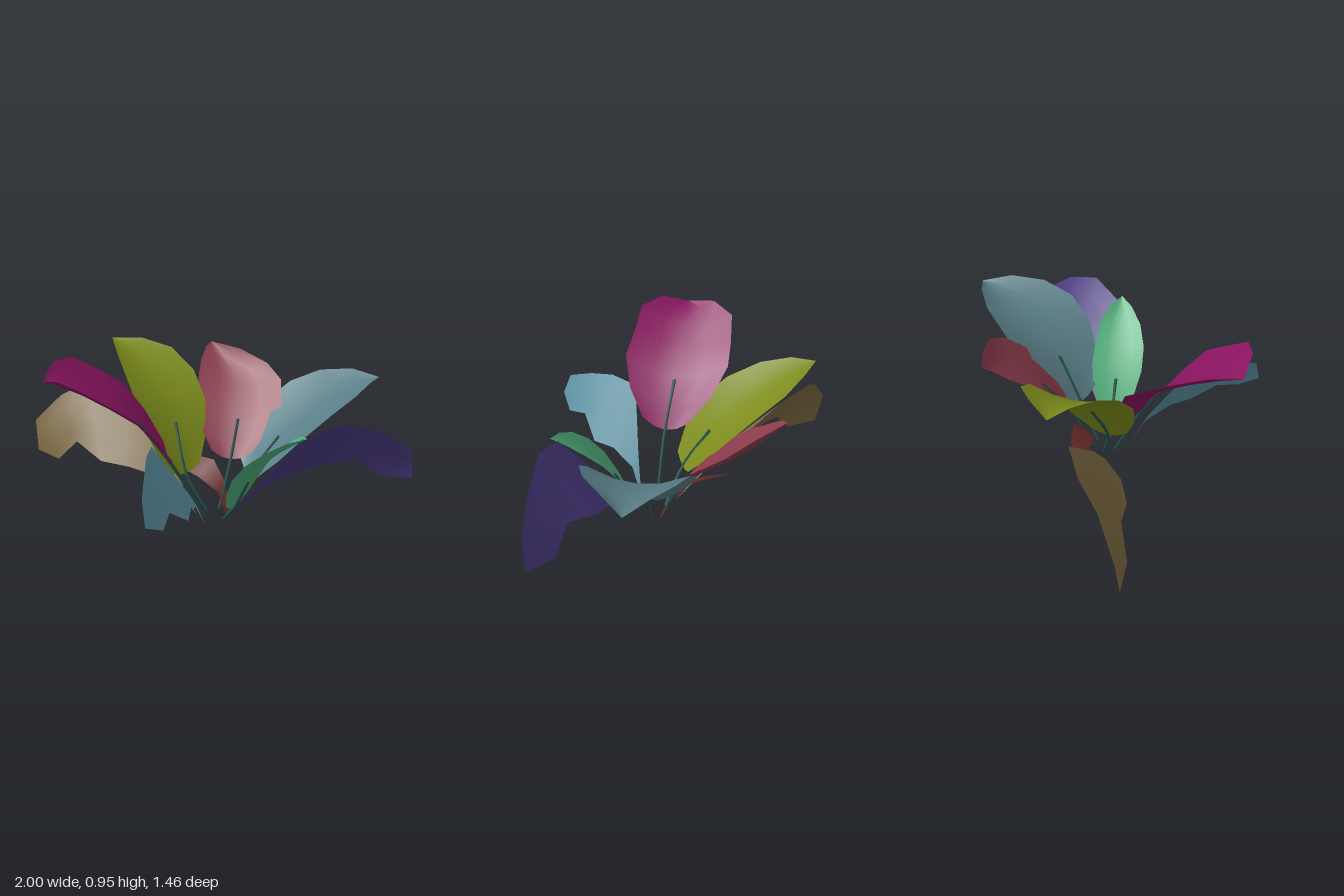
import * as THREE from 'three';

const vec = (p) => new THREE.Vector3(...p);
const SEATS = [-1, -0.5, 0, 0.5, 1]; // positions across a blade

// Blade lofted along a rib; the half-width vector turns from `side` to `tipSide`, `cup` lifts the edges
function bladeGeometry({ rib, side, tipSide = side, cup = [0, 0, 0], rows }) {
  const curve = new THREE.CatmullRomCurve3(rib.map(vec));
  const cupV = vec(cup), pos = [], index = [], n = SEATS.length;
  rows.forEach(([t, w], r) => {
    const mid = curve.getPoint(t);
    const half = vec(side).lerp(vec(tipSide), t * t);
    for (const s of SEATS) {
      const p = mid.clone().addScaledVector(half, s * w)
        .addScaledVector(cupV, s * s * Math.sqrt(w));
      pos.push(p.x, p.y, p.z);
    }
    if (r === 0) return;
    for (let c = 0; c < n - 1; c++) {
      const a = (r - 1) * n + c, b = r * n + c;
      index.push(a, a + 1, b, a + 1, b + 1, b);
    }
  });
  const g = new THREE.BufferGeometry();
  g.setAttribute('position', new THREE.Float32BufferAttribute(pos, 3));
  g.setIndex(index);
  g.computeVertexNormals();
  return g;
}

// Width outlines as [position along rib, share of half-width]
const POINTED = [[0, 0.45], [0.12, 0.8], [0.28, 1], [0.48, 0.98], [0.68, 0.8], [0.86, 0.42], [1, 0]];
const BLUNT = [[0, 0.45], [0.12, 0.8], [0.28, 1], [0.48, 0.95], [0.68, 0.9], [0.86, 0.52], [1, 0]];
const DROOPING = [0, 0.22, 0.95, 1, 0.6, 0.52, 0].map((w, i) => [i / 6, w]);
const SMALL = [[0, 0.15], [0.25, 0.5], [0.5, 1], [0.75, 0.8], [1, 0]];

// Upright cupped leaves on thin stems
const uprightLeaves = [
  { name: 'magentaLeaf', color: 0x8a1560, rows: BLUNT, base: [-0.07, 0.03, 0.01], side: [0.03, 0, 0.29], cup: [-0.01, 0.09, 0],
    rib: [[-0.26, 0.39, 0.03], [-0.42, 0.63, 0.03], [-0.58, 0.75, 0.04], [-0.75, 0.86, 0.07], [-0.88, 0.9, 0.1]] },
  { name: 'yellowLeaf', color: 0x7d8c1c, rows: POINTED, base: [-0.05, 0.03, -0.05], side: [0.19, 0, -0.13], cup: [0, 0.05, 0],
    rib: [[-0.16, 0.24, -0.11], [-0.2, 0.49, -0.25], [-0.26, 0.66, -0.41], [-0.37, 0.78, -0.59], [-0.52, 0.84, -0.73]] },
  { name: 'roseLeaf', color: 0x8c3c4c, rows: POINTED, base: [0.02, 0.03, -0.06], side: [0.23, 0, 0.08], cup: [0, 0.07, 0],
    rib: [[0.1, 0.28, -0.17], [0.16, 0.47, -0.3], [0.19, 0.61, -0.46], [0.16, 0.69, -0.58], [0.06, 0.8, -0.71]] },
  { name: 'tealLeaf', color: 0x5a7f88, rows: POINTED, base: [0.06, 0.02, -0.01], side: [0.05, 0, 0.27], cup: [0, 0.08, 0],
    rib: [[0.18, 0.23, -0.04], [0.35, 0.46, -0.06], [0.53, 0.6, -0.08], [0.73, 0.68, -0.13], [0.93, 0.73, -0.18]] },
  { name: 'greenLeaf', color: 0x4fae7c, rows: POINTED, base: [0.03, 0.03, 0.05], side: [0.11, 0, -0.09], cup: [0, 0.04, 0],
    rib: [[0.08, 0.12, 0.1], [0.14, 0.32, 0.18], [0.21, 0.46, 0.26], [0.3, 0.57, 0.34], [0.39, 0.66, 0.42]] },
];

// Stemless leaves that arch over and hang at the end
const droopingLeaves = [
  { name: 'indigoLeaf', color: 0x4a3a80, rows: DROOPING, side: [-0.01, 0.18, 0.15], tipSide: [0.18, 0.18, 0.08],
    rib: [[0.06, 0.02, 0.04], [0.19, 0.22, 0.11], [0.36, 0.47, 0.25], [0.55, 0.53, 0.25], [0.75, 0.53, 0.27], [0.91, 0.41, 0.25], [1, 0.33, 0.28]] },
  { name: 'orangeLeaf', color: 0x7d6a42, rows: DROOPING, side: [0.03, 0.19, -0.16], tipSide: [-0.19, 0.17, -0.17],
    rib: [[-0.11, 0, -0.07], [-0.23, 0.2, -0.22], [-0.46, 0.4, -0.42], [-0.65, 0.41, -0.52], [-0.8, 0.4, -0.6], [-0.94, 0.25, -0.645], [-1, 0.16, -0.7]] },
  { name: 'blueLeaf', color: 0x5c93a4, rows: DROOPING, side: [-0.1, 0.17, -0.05], tipSide: [-0.09, 0.18, 0.06],
    rib: [[-0.08, 0.03, 0.11], [-0.15, 0.22, 0.17], [-0.27, 0.42, 0.28], [-0.3, 0.43, 0.42], [-0.36, 0.47, 0.54], [-0.39, 0.43, 0.67], [-0.43, 0.4, 0.73]] },
  { name: 'smallBrownLeaf', color: 0x6a2a28, rows: SMALL, side: [0.05, 0.035, -0.03],
    rib: [[0.06, 0.01, -0.05], [0.04, 0.14, -0.1], [-0.04, 0.23, -0.18], [-0.13, 0.23, -0.28], [-0.22, 0.21, -0.38]] },
];

function addMesh(parent, name, geometry, color) {
  const mesh = new THREE.Mesh(geometry, new THREE.MeshStandardMaterial({ color, side: THREE.DoubleSide }));
  mesh.name = name;
  parent.add(mesh);
}

export function createModel() {
  const plant = new THREE.Group();
  plant.name = 'leafyPlant';

  for (const leaf of uprightLeaves) {
    const group = new THREE.Group();
    group.name = leaf.name;
    addMesh(group, 'blade', bladeGeometry(leaf), leaf.color);
    // Stem runs from the ground into the blade's rib
    const path = new THREE.CatmullRomCurve3([leaf.base, ...leaf.rib.slice(0, 2)].map(vec));
    addMesh(group, 'stem', new THREE.TubeGeometry(path, 8, 0.01, 5), 0x24504a);
    plant.add(group);
  }

  for (const leaf of droopingLeaves) addMesh(plant, leaf.name, bladeGeometry(leaf), leaf.color);

  return plant;
}
